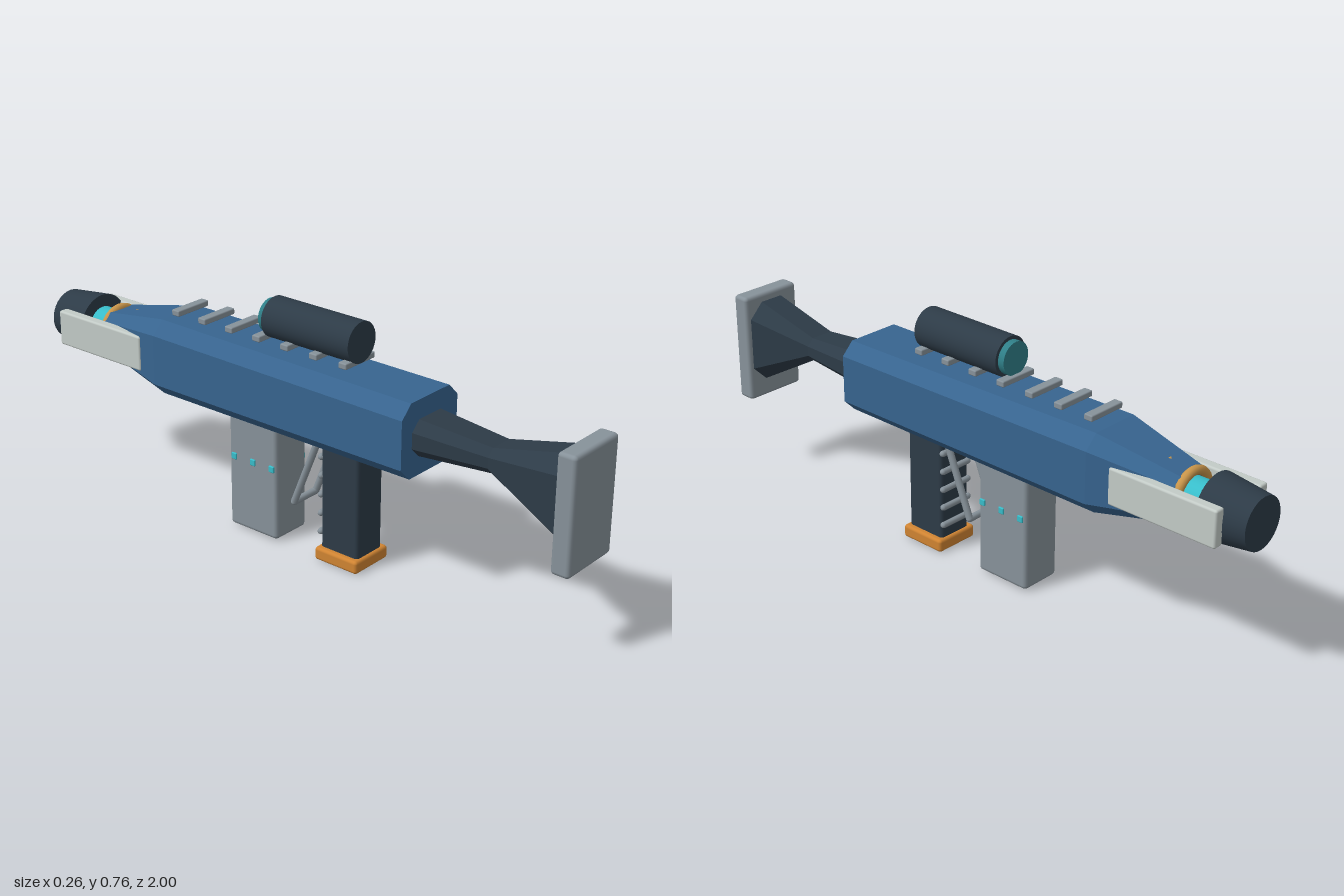
import * as THREE from 'three';
import { RoundedBoxGeometry } from 'three/addons/geometries/RoundedBoxGeometry.js';

const mat = (name, color) => Object.assign(new THREE.MeshStandardMaterial({ color }), { name });

// Faceted loft through chamfered rectangles, listed from high z to low z
function loft(sections) {
  const rings = sections.map(({ z, w, y0, y1, c }) => [
    [w, y0 + c], [w, y1 - c], [w - c, y1], [c - w, y1],
    [-w, y1 - c], [-w, y0 + c], [c - w, y0], [w - c, y0],
  ].map(([x, y]) => [x, y, z]));
  const pos = [];
  const tri = (...corners) => corners.forEach((p) => pos.push(...p));
  for (let s = 0; s < rings.length - 1; s++) {
    const a = rings[s], b = rings[s + 1];
    for (let i = 0; i < 8; i++) {
      const j = (i + 1) % 8;
      tri(a[i], b[i], b[j]);
      tri(a[i], b[j], a[j]);
    }
  }
  const first = rings[0], last = rings[rings.length - 1];
  for (let i = 1; i < 7; i++) {
    tri(first[0], first[i], first[i + 1]);
    tri(last[0], last[i + 1], last[i]);
  }
  const g = new THREE.BufferGeometry();
  g.setAttribute('position', new THREE.Float32BufferAttribute(pos, 3));
  g.computeVertexNormals();
  return g;
}

export function createModel() {
  const blue = mat('body blue', 0x37648f);
  const dark = mat('dark slate', 0x2d3b47);
  const grey = mat('metal grey', 0x87929a);
  const light = mat('pale grey', 0xc3cbc7);
  const orange = mat('orange', 0xd08432);
  const gold = mat('ring gold', 0xc8954a);
  const cyan = mat('glow cyan', 0x38bdca);
  const teal = mat('lens teal', 0x2f7f88);

  const model = new THREE.Group();
  const add = (name, geometry, material, x = 0, y = 0, z = 0) => {
    const m = new THREE.Mesh(geometry, material);
    m.name = name;
    m.position.set(x, y, z);
    model.add(m);
    return m;
  };
  const box = (w, h, d, r) => new RoundedBoxGeometry(w, h, d, 2, r);
  // Cylinder along z: radius at the high z end, radius at the low z end
  const barrel = (rHigh, rLow, len, seg = 32) =>
    new THREE.CylinderGeometry(rHigh, rLow, len, seg).rotateX(Math.PI / 2);
  // Round bar between two points
  const bar = (name, a, b, r, material) => {
    const from = new THREE.Vector3(...a), to = new THREE.Vector3(...b);
    const dir = to.clone().sub(from);
    const m = add(name, new THREE.CapsuleGeometry(r, dir.length(), 4, 10), material);
    m.position.copy(from).add(to).multiplyScalar(0.5);
    m.quaternion.setFromUnitVectors(new THREE.Vector3(0, 1, 0), dir.normalize());
  };

  // Main body with tapered nose
  add('body', loft([
    { z: 0.46, w: 0.128, y0: 0.38, y1: 0.61, c: 0.04 },
    { z: -0.5, w: 0.122, y0: 0.373, y1: 0.617, c: 0.042 },
    { z: -0.77, w: 0.07, y0: 0.425, y1: 0.565, c: 0.024 },
  ]), blue);

  // Shoulder stock and butt plate
  add('stock', loft([
    { z: 0.95, w: 0.09, y0: 0.315, y1: 0.592, c: 0.05 },
    { z: 0.7, w: 0.06, y0: 0.456, y1: 0.532, c: 0.022 },
    { z: 0.44, w: 0.082, y0: 0.437, y1: 0.552, c: 0.032 },
  ]), dark);
  add('buttPlate', box(0.21, 0.357, 0.06, 0.012), grey, 0, 0.4385, 0.97);

  // Nose: rings, glowing core, muzzle and side prongs
  for (const z of [-0.69, -0.77])
    add('noseRing', new THREE.TorusGeometry(0.072, 0.014, 12, 36), gold, 0, 0.495, z);
  add('glowCore', barrel(0.057, 0.057, 0.14), cyan, 0, 0.495, -0.82);
  add('muzzle', barrel(0.097, 0.079, 0.15), dark, 0, 0.495, -0.925);
  for (const s of [-1, 1])
    add('sideProng', box(0.034, 0.114, 0.362, 0.007), light, s * 0.096, 0.493, -0.752);

  // Sight tube, lens and the rail slats under it
  add('sightTube', barrel(0.063, 0.063, 0.325), dark, 0, 0.7, 0.052);
  add('sightLens', barrel(0.052, 0.052, 0.024), teal, 0, 0.7, -0.12);
  for (let i = 0; i < 7; i++)
    add('railSlat', box(0.132, 0.019, 0.03, 0.004), grey, 0, 0.643, 0.197 - i * 0.109);

  // Grip with finger ribs and foot
  add('grip', box(0.116, 0.37, 0.14, 0.012), dark, 0, 0.215, 0.185);
  add('gripFoot', box(0.152, 0.042, 0.16, 0.01), orange, 0, 0.021, 0.185);
  for (let i = 0; i < 5; i++)
    bar('gripRib', [-0.053, 0.088 + i * 0.061, 0.112], [0.053, 0.088 + i * 0.061, 0.112], 0.01, grey);

  // Trigger guard: two slanted bars joined at the bottom
  for (const s of [-1, 1])
    bar('guardBar', [s * 0.05, 0.36, 0.09], [s * 0.05, 0.15, 0.005], 0.011, grey);
  bar('guardCrossbar', [-0.05, 0.15, 0.005], [0.05, 0.15, 0.005], 0.011, grey);

  // Magazine with indicator lights on both sides
  add('magazine', box(0.138, 0.39, 0.19, 0.013), grey, 0, 0.2, -0.145);
  for (const s of [-1, 1])
    for (let i = 0; i < 3; i++)
      add('indicatorLight', box(0.009, 0.021, 0.02, 0.003), cyan, s * 0.0695, 0.241, -0.068 - i * 0.075);

  return model;
}
